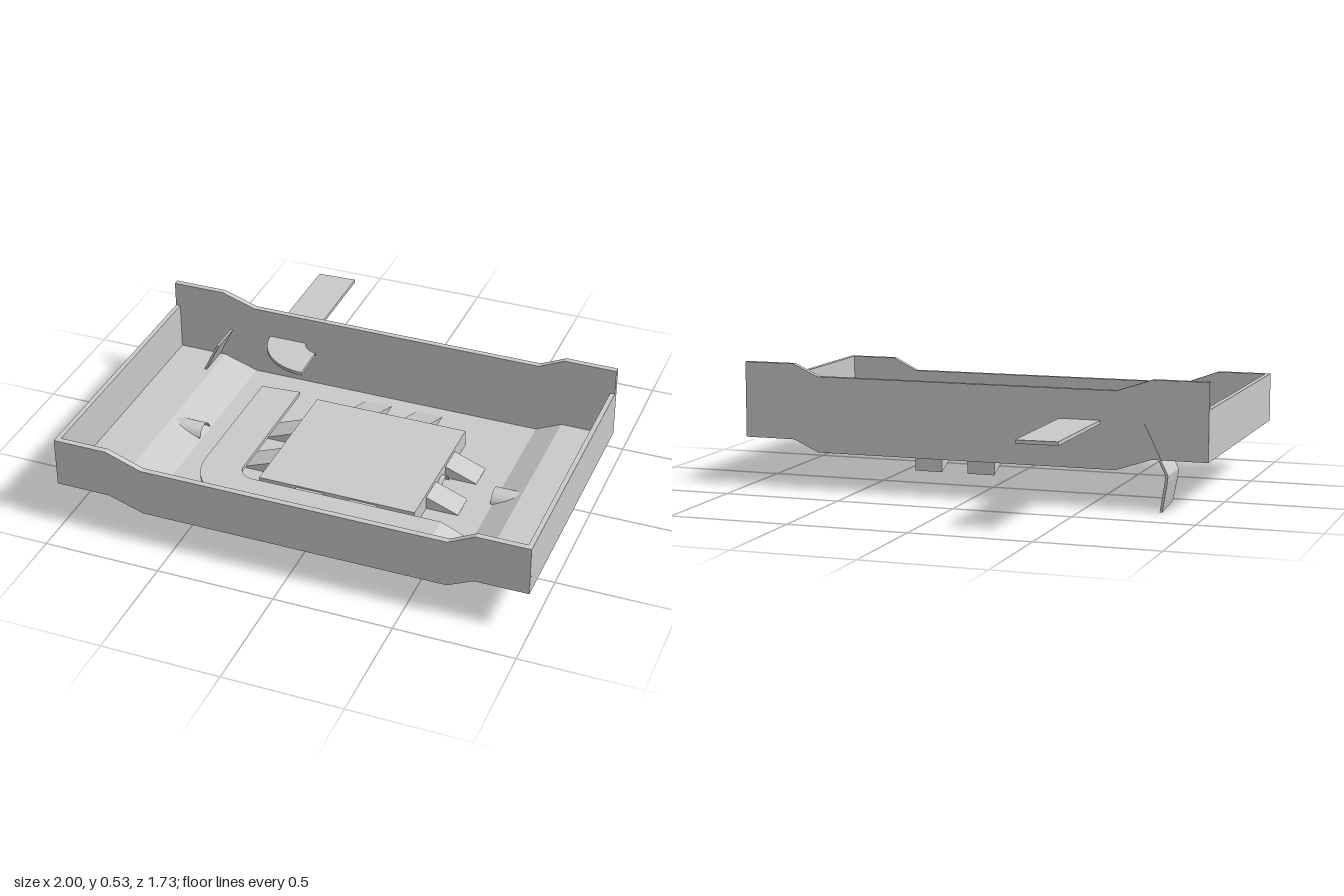
import * as THREE from 'three';

const mat = new THREE.MeshStandardMaterial({ color: 0xcccccc, flatShading: true });
const thin = new THREE.MeshStandardMaterial({ color: 0xcccccc, side: THREE.DoubleSide });

export function createModel() {
  const model = new THREE.Group();
  const add = (name, geo, parent = model, material = mat) => {
    const m = new THREE.Mesh(geo, material);
    m.name = name;
    parent.add(m);
    return m;
  };
  const polygon = (pts) => new THREE.Shape(pts.map(([x, y]) => new THREE.Vector2(x, y)));
  // x-y profile swept from z0 to z1
  const sweep = (pts, z0, z1) =>
    new THREE.ExtrudeGeometry(polygon(pts), { depth: z1 - z0, bevelEnabled: false }).translate(0, 0, z0);
  // flat x-z outline, thickened downwards from y
  const slab = (shape, y, t) =>
    new THREE.ExtrudeGeometry(shape, { depth: t, bevelEnabled: false, curveSegments: 16 })
      .rotateX(Math.PI / 2).translate(0, y, 0);

  // Tray: every long edge follows the same raised-end line
  const contour = (low, high) => [[-1, high], [-0.77, high], [-0.62, low], [0.67, low], [0.78, high], [1, high]];
  const bottom = contour(0.16, 0.21);
  const band = (low, high) => [...bottom, ...contour(low, high).reverse()];
  add('floor', sweep(band(0.166, 0.216), -0.29, 0.855));
  add('backWall', sweep(band(0.48, 0.53), -0.3, -0.275));
  add('frontWall', sweep(band(0.365, 0.42), 0.84, 0.865));
  for (const s of [-1, 1]) {
    add(s > 0 ? 'leftWall' : 'rightWall',
      new THREE.BoxGeometry(0.02, 0.21, 1.13).translate(s * 0.99, 0.315, 0.28));
  }

  // Central platform with two ramps on each side
  const hub = new THREE.Group();
  hub.name = 'platformGroup';
  hub.position.set(0.095, 0, 0.257);
  model.add(hub);
  add('platform', new THREE.BoxGeometry(0.67, 0.077, 0.62).translate(0, 0.1985, 0), hub);
  const rampProfile = [[0.305, 0.16], [0.47, 0.092], [0.47, 0.168], [0.305, 0.232]];
  for (let i = 0; i < 4; i++) {
    for (const s of [-1, 1]) {
      const ramp = add('ramp', sweep(rampProfile, s * 0.115 - 0.059, s * 0.115 + 0.059), hub);
      ramp.rotation.y = i * Math.PI / 2;
    }
  }

  // Half-round tunnels, open at the ends and underneath
  const tunnel = (name, length) => add(name,
    new THREE.CylinderGeometry(0.05, 0.05, length, 20, 1, true, 0, Math.PI).rotateZ(Math.PI / 2), model, thin);
  tunnel('rightTunnel', 0.285).position.set(-0.768, 0.16, 0.26);
  tunnel('leftTunnel', 0.285).position.set(0.803, 0.16, 0.26);
  tunnel('crossTunnel', 0.705).position.set(0.0975, 0.16, 0.26);
  const longTunnel = tunnel('lengthwiseTunnel', 0.675);
  longTunnel.position.set(0.095, 0.16, 0.2675);
  longTunnel.rotation.y = Math.PI / 2;

  // Elevated road with one bend, ending in a ramp down to the floor
  const road = new THREE.Shape();
  road.moveTo(-0.46, 0.025);
  road.lineTo(-0.46, 0.6);
  road.absarc(-0.225, 0.6, 0.235, Math.PI, Math.PI / 2, true);
  road.lineTo(0.575, 0.835);
  road.lineTo(0.575, 0.667);
  road.lineTo(-0.225, 0.667);
  road.absarc(-0.225, 0.6, 0.067, Math.PI / 2, Math.PI, false);
  road.lineTo(-0.292, 0.01);
  add('road', slab(road, 0.3, 0.016));
  add('roadRamp', sweep([[0.575, 0.284], [0.77, 0.198], [0.77, 0.214], [0.575, 0.3]], 0.667, 0.835));

  // Upper road passing through the back wall
  const upper = new THREE.Shape();
  upper.moveTo(-0.555, -0.858);
  upper.lineTo(-0.555, -0.29);
  upper.absarc(-0.31, -0.29, 0.24, Math.PI, Math.PI / 2, true);
  upper.lineTo(-0.315, -0.218);
  upper.absarc(-0.31, -0.29, 0.073, Math.PI / 2, Math.PI, false);
  upper.lineTo(-0.385, -0.865);
  add('upperRoad', slab(upper, 0.358, 0.015));

  // Bent strip passing down through the floor
  const bend = [[-0.74, 0.35], [-0.775, 0.28], [-0.808, 0.21], [-0.838, 0.15], [-0.835, 0.12], [-0.816, 0]];
  const strip = sweep([...bend, ...bend.map(([x, y]) => [x + 0.011, y]).reverse()], -0.303, -0.13);
  const pos = strip.attributes.position;
  for (let i = 0; i < pos.count; i++) {
    if (pos.getY(i) < 0.01 && pos.getZ(i) > -0.2) pos.setY(i, 0.018);
  }
  strip.computeVertexNormals();
  add('bentStrip', strip);

  return model;
}
